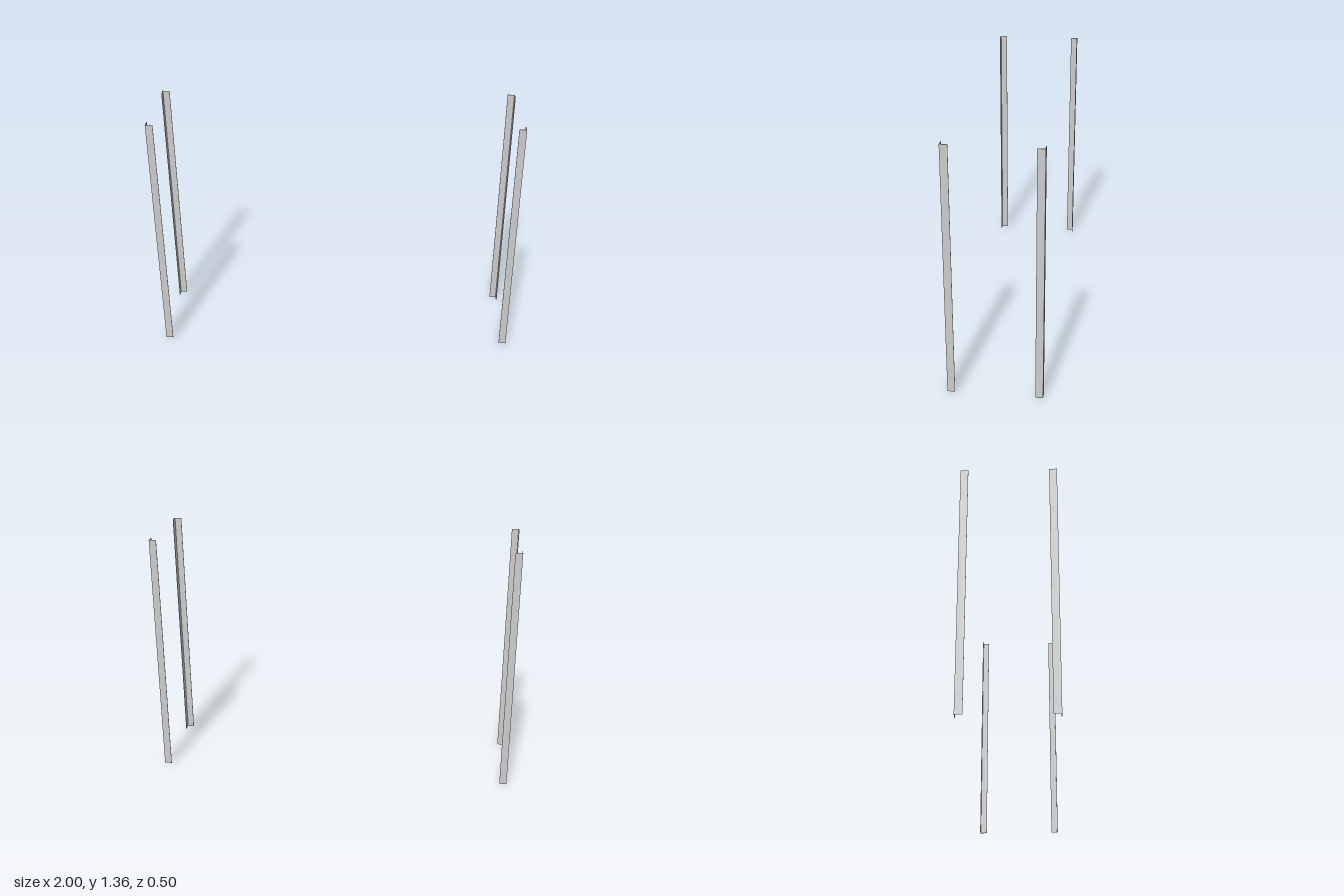
import * as THREE from 'three';

const HEIGHT = 1.36, FLANGE = 0.04, THICK = 0.003;
const HALF_X = 1, HALF_Z = 0.248;

// L-section angle post with its outer corner at (sx * HALF_X, sz * HALF_Z), flanges pointing inward
function anglePost(sx, sz, material) {
  const section = [
    [0, 0], [FLANGE, 0], [FLANGE, THICK],
    [THICK, THICK], [THICK, FLANGE], [0, FLANGE],
  ];
  const shape = new THREE.Shape(section.map(([u, v]) =>
    new THREE.Vector2(sx * (HALF_X - u), -sz * (HALF_Z - v))));
  const geometry = new THREE.ExtrudeGeometry(shape, { depth: HEIGHT, bevelEnabled: false });
  geometry.rotateX(-Math.PI / 2); // stand the extrusion upright
  return new THREE.Mesh(geometry, material);
}

export function createModel() {
  const model = new THREE.Group();
  model.name = 'shelfUprights';
  const material = new THREE.MeshStandardMaterial({ color: 0xcccccc });

  // One upright at each corner of the rectangle
  for (const sx of [-1, 1]) {
    for (const sz of [-1, 1]) {
      const post = anglePost(sx, sz, material);
      post.name = (sz > 0 ? 'front' : 'back') + (sx > 0 ? 'Left' : 'Right') + 'Post';
      model.add(post);
    }
  }
  return model;
}
